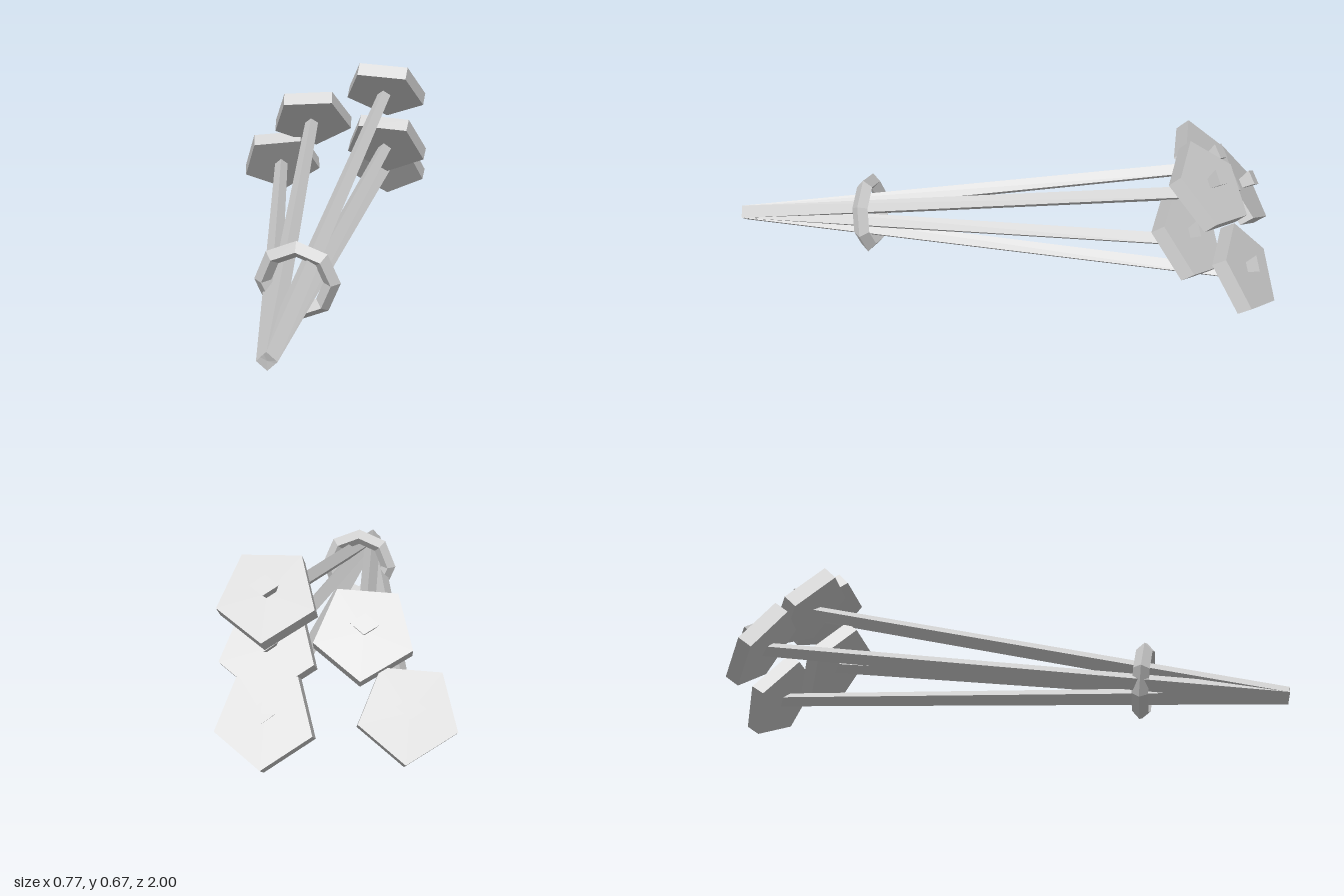
import * as THREE from 'three';

// Bunch of five low-poly flowers held together by a ring
export function createModel() {
  const model = new THREE.Group();
  model.name = 'bouquet';
  const grey = new THREE.MeshStandardMaterial({ color: 0xcccccc, flatShading: true });
  grey.name = 'light grey';

  const add = (parent, geometry, name) => {
    const mesh = new THREE.Mesh(geometry, grey);
    mesh.name = name;
    parent.add(mesh);
    return mesh;
  };

  const root = new THREE.Vector3(0.08, 0.06, 0.985);
  const headTilt = THREE.MathUtils.degToRad(32);
  const headThickness = 0.055;

  // Where each stem meets the underside of its flower head
  const ends = [
    [-0.225, 0.217, -0.80],
    [-0.077, 0.422, -0.685],
    [0.212, 0.542, -0.712],
    [0.224, 0.336, -0.66],
    [0.203, 0.204, -0.86],
  ];

  // Pentagonal head: flat edge towards +z, corner towards -z
  const headGeometry = new THREE.CylinderGeometry(0.163, 0.163, headThickness, 5, 1, false, Math.PI);
  headGeometry.translate(0, headThickness / 2, 0);

  // Small flared diamond in the middle of the head
  const budGeometry = new THREE.CylinderGeometry(0.046, 0.028, 0.05, 4);
  budGeometry.scale(1, 1, 0.75);
  budGeometry.translate(0, headThickness + 0.024, 0.008);

  for (const end of ends) {
    const tip = new THREE.Vector3(...end);
    const dir = tip.clone().sub(root);
    const length = dir.length();
    dir.normalize();
    const lean = -Math.asin(dir.x);
    const pitch = -Math.atan2(-dir.z, dir.y);

    const flower = new THREE.Group();
    flower.name = 'flower';
    model.add(flower);

    // Square stem, slightly thinner at the head
    const stem = add(flower, new THREE.CylinderGeometry(0.026, 0.033, length + 0.02, 4), 'stem');
    stem.position.copy(root).addScaledVector(dir, (length + 0.02) / 2);
    stem.rotation.set(pitch, 0, lean);

    const head = new THREE.Group();
    head.name = 'flowerHead';
    head.position.copy(tip);
    head.rotation.set(pitch + headTilt, 0, lean);
    add(head, headGeometry, 'petals');
    add(head, budGeometry, 'bud');
    flower.add(head);
  }

  // Eight-sided ring around the stems
  const ring = add(model, new THREE.TorusGeometry(0.116, 0.029, 4, 8), 'ring');
  ring.position.set(0.08, 0.146, 0.487);
  ring.rotation.x = 0.14;

  return model;
}
